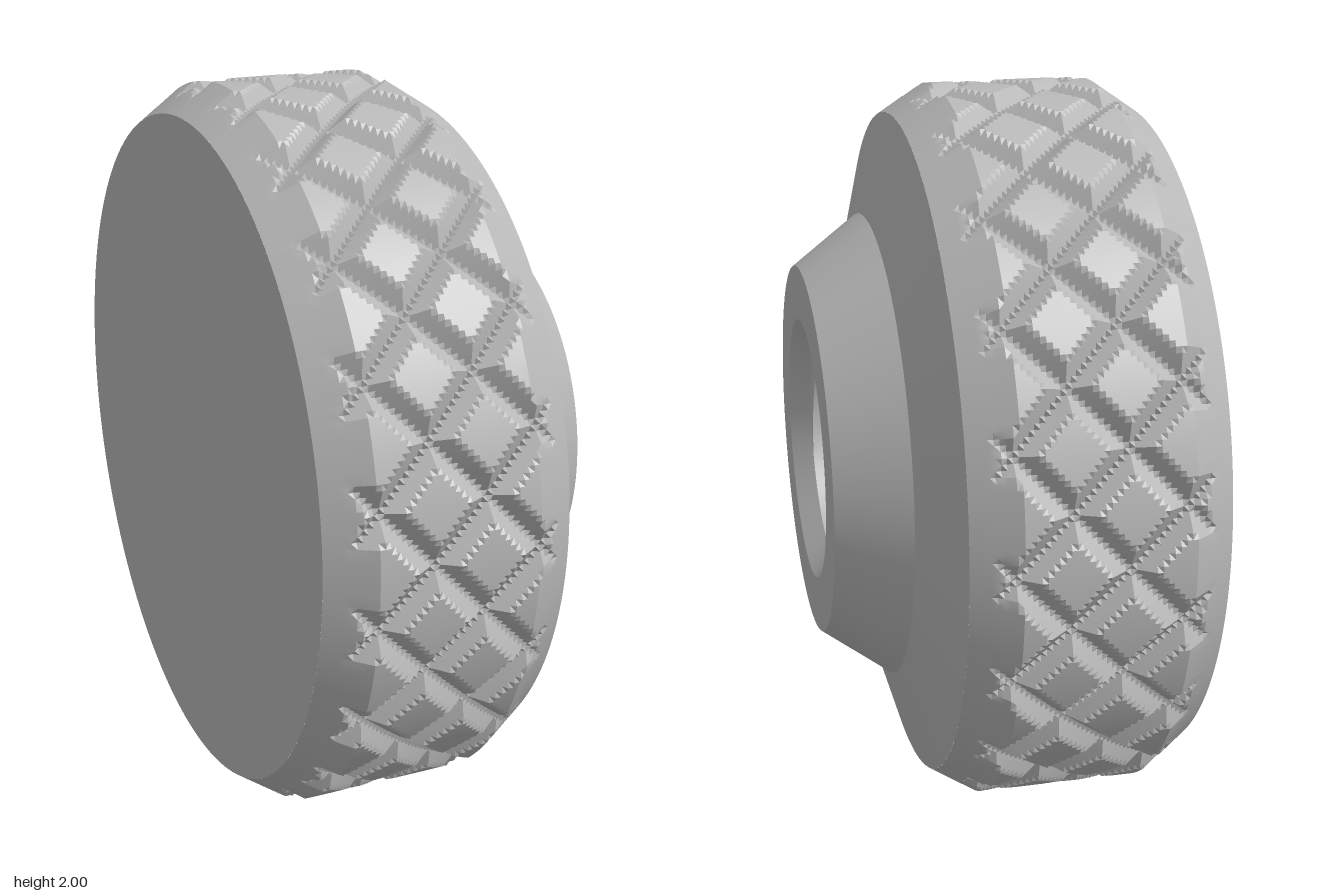
import * as THREE from 'three';
import { toCreasedNormals } from 'three/addons/utils/BufferGeometryUtils.js';

const steel = new THREE.MeshStandardMaterial({ color: 0xb8b8b8 });
steel.name = 'steel grey';

// Surface around the x axis; at(i, j) returns [x, radius] for row i, column j
function wrap(rows, cols, at, inward = false) {
  const pos = [], index = [];
  for (let i = 0; i <= rows; i++) for (let j = 0; j <= cols; j++) {
    const [x, r] = at(i, j), t = (j / cols) * Math.PI * 2;
    pos.push(x, r * Math.cos(t), r * Math.sin(t));
  }
  const tri = (a, b, c) => (inward ? index.push(a, c, b) : index.push(a, b, c));
  for (let i = 0; i < rows; i++) for (let j = 0; j < cols; j++) {
    const a = i * (cols + 1) + j, b = a + 1, c = a + cols + 1, d = c + 1;
    // alternate the diagonals so that both groove directions get clean edges
    if ((i + j) % 2) { tri(a, b, c); tri(b, d, c); } else { tri(a, b, d); tri(a, d, c); }
  }
  const geo = new THREE.BufferGeometry();
  geo.setAttribute('position', new THREE.Float32BufferAttribute(pos, 3));
  geo.setIndex(index);
  return toCreasedNormals(geo, 0.3);
}

// Turned surface from [x, radius] points
function turned(points) {
  const geo = new THREE.LatheGeometry(points.map(([x, r]) => new THREE.Vector2(r, x)), 128);
  return toCreasedNormals(geo.rotateZ(-Math.PI / 2), 0.4);
}

export function createModel() {
  const model = new THREE.Group();
  model.name = 'knurledKnob';
  const add = (name, geo) => {
    const mesh = new THREE.Mesh(geo, steel);
    mesh.name = name;
    mesh.position.y = 1;
    model.add(mesh);
    return mesh;
  };

  // Knurled rim: chamfered band cut by two families of 45 degree V grooves
  const N = 10, step = 0.43 / 30, depth = 0.042, half = 4;
  add('knurledRim', wrap(46, 40 * N, (i, j) => {
    let x = -0.35 + (i - 8) * step;
    if (i === 46) x = 0.2;
    const band = Math.min(1, 1 - (-0.35 - x) * 0.69, 1 - (x - 0.08) * 0.625);
    const k = i - 39; // rows from a line of groove crossings
    const dist = (n) => Math.abs(n - 2 * N * Math.round(n / (2 * N)));
    const d = Math.min(dist(k + j), dist(k - j));
    return [x, Math.min(band, 1 - depth + (depth * d) / half)];
  }));

  // Flat closed end
  const end = add('endFace', new THREE.CircleGeometry(0.921, 128));
  end.rotation.y = -Math.PI / 2;
  end.position.x = -0.4647;

  // Sloped shoulder, conical boss, ring face and bore chamfer
  add('shoulderAndBoss', turned([[0.2, 0.925], [0.28, 0.65], [0.465, 0.515], [0.465, 0.365], [0.41, 0.305]]));

  // Threaded bore with a helical ridge
  const lo = -0.2, hi = 0.41, pitch = 0.1;
  const thread = [[0, 0.355], [0.2, 0.355], [0.42, 0.305], [0.78, 0.305]];
  const turns = Math.ceil((hi - lo) / pitch) + 1;
  add('threadedBore', wrap(turns * 4, 96, (i, j) => {
    const [f, r] = thread[i % 4];
    const x = lo + pitch * (Math.floor(i / 4) - 1 + f + j / 96);
    return [THREE.MathUtils.clamp(x, lo, hi), r];
  }, true));

  // Floor of the blind bore
  const floor = add('boreFloor', new THREE.CircleGeometry(0.36, 64));
  floor.rotation.y = Math.PI / 2;
  floor.position.x = lo + 0.001;

  return model;
}
